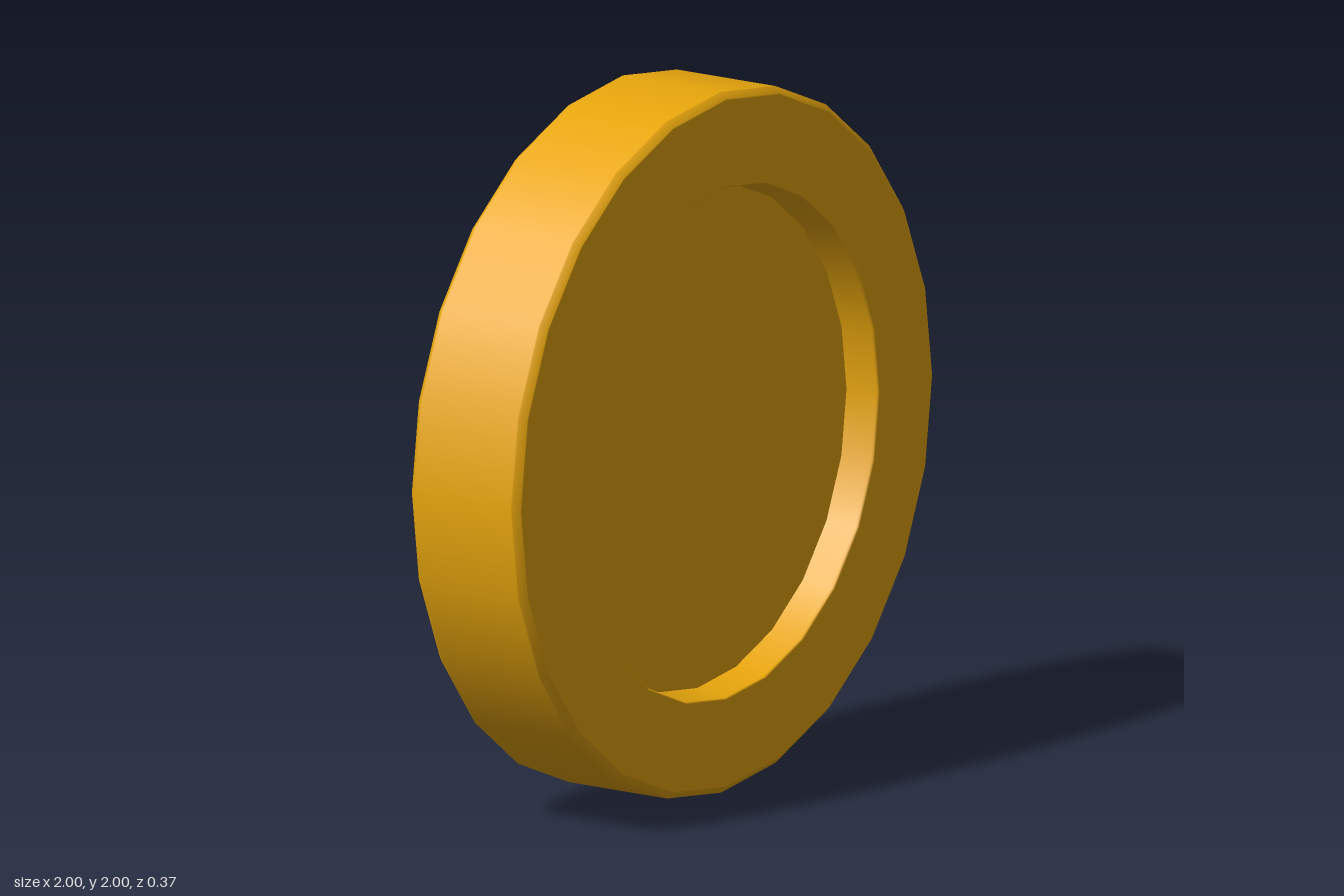
import * as THREE from 'three';

// Thick 24-sided disc with a shallow round recess on both faces
export function createModel() {
  const group = new THREE.Group();
  group.name = 'disc';

  const H = 0.185, R = 1, bevel = 0.017, lip = 0.729, base = 0.713, floor = 0.086;

  // half profile from the outer wall to the centre; doubled points keep an edge sharp
  const half = [
    [R, H - bevel - 0.005], [R, H - bevel],          // outer wall
    [R - bevel, H], [R - bevel - 0.005, H],          // outer bevel
    [lip + 0.004, H], [lip, H - 0.004],              // flat rim
    [lip - 0.001, H - 0.01],
    [base, floor], [base, floor],                    // sloped recess wall
    [0, floor],
  ];
  const back = half.map(([r, z]) => new THREE.Vector2(r, -z)).reverse();
  const front = half.map(([r, z]) => new THREE.Vector2(r, z));

  const geometry = new THREE.LatheGeometry([...back, ...front], 24);
  geometry.rotateX(Math.PI / 2);

  const body = new THREE.Mesh(
    geometry,
    new THREE.MeshStandardMaterial({ color: 0xe8a60c })
  );
  body.name = 'recessedDisc';
  body.position.y = R;
  group.add(body);
  return group;
}
